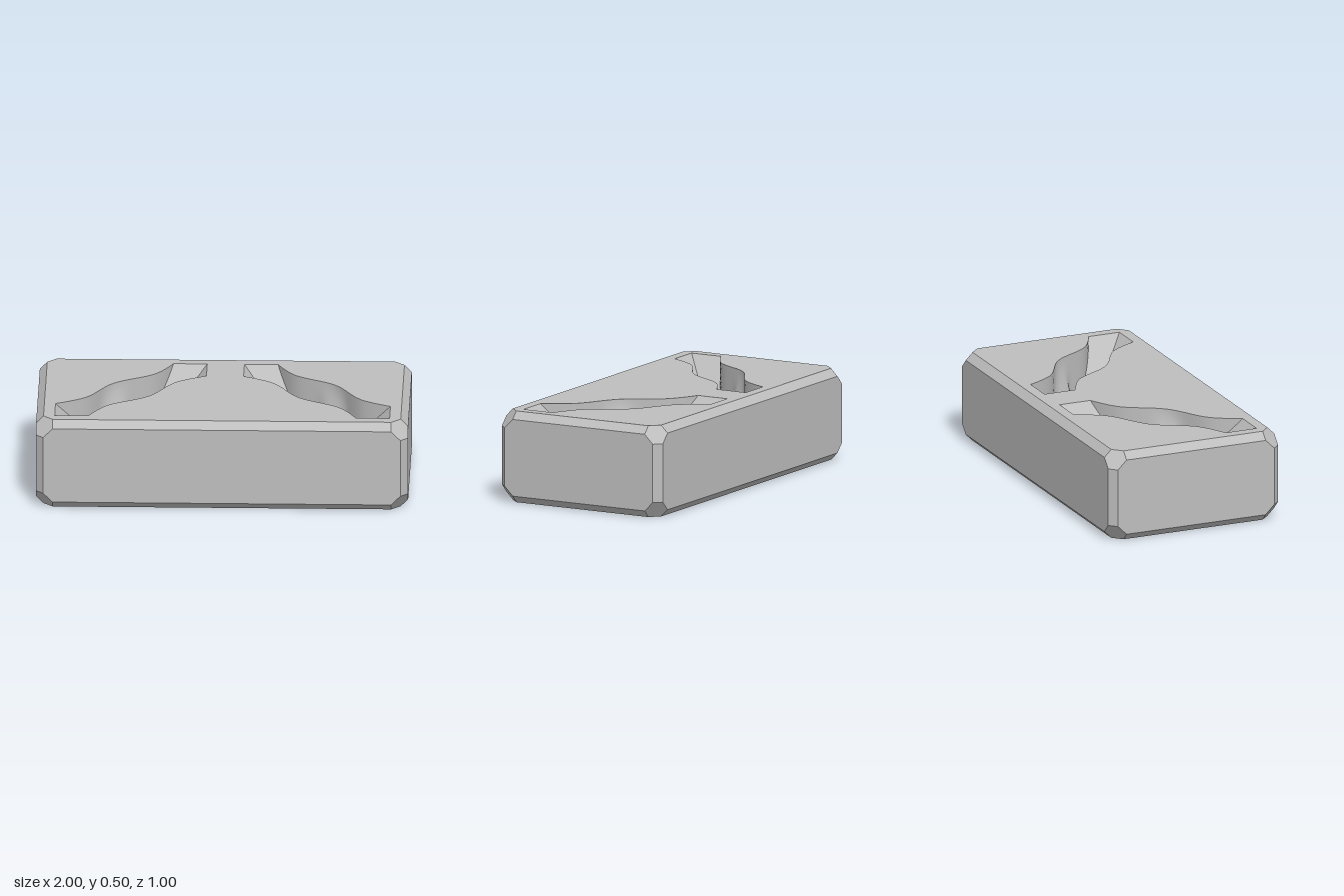
import * as THREE from 'three';

const HALF = [1, 0.25, 0.5];      // half sizes of the block
const C1 = 0.04, C2 = 0.09;       // chamfer and corner insets
const TIP_OUT = 0.566, TIP_MID = 0.248; // half length of a slot at the faces and at mid height
const WALL_STEPS = 28, ROWS = 20;

const smooth = (t) => { t = Math.min(1, Math.max(0, t)); return t * t * (3 - 2 * t); };

// Half width of a slot: wide in the middle, pinched, wide again at the shoulders
function halfWidth(u) {
  u = Math.abs(u);
  if (u < 0.26) return 0.135 - 0.052 * smooth(u / 0.26);
  return 0.083 + 0.045 * Math.pow(Math.min(1, (u - 0.26) / 0.178), 1.5);
}

// One side of the slot outline at height y (from the block's middle)
function section(y) {
  const k = 1 - Math.abs(y) / HALF[1];
  const tip = TIP_OUT + (TIP_MID - TIP_OUT) * k;
  let lo = 0, hi = tip;
  for (let i = 0; i < 40; i++) {
    const m = (lo + hi) / 2;
    if (m + halfWidth(m) < tip) lo = m; else hi = m;
  }
  const wall = [];
  for (let i = 0; i <= WALL_STEPS; i++) {
    const u = lo * (1 - 2 * i / WALL_STEPS);
    const bulge = 0.066 * smooth(k) * smooth(1.15 * (1 - Math.abs(u) / 0.125));
    wall.push([u, y, halfWidth(u) - bulge]);
  }
  return { tip: [tip, y, 0], wall, end: [-tip, y, 0] };
}

// Surface through rows of points
function loft(rows) {
  const n = rows[0].length, index = [];
  for (let r = 0; r < rows.length - 1; r++) {
    for (let c = 0; c < n - 1; c++) {
      const a = r * n + c;
      index.push(a, a + 1, a + n, a + 1, a + n + 1, a + n);
    }
  }
  const g = new THREE.BufferGeometry();
  g.setAttribute('position', new THREE.Float32BufferAttribute(rows.flat(2), 3));
  g.setIndex(index);
  g.computeVertexNormals();
  return g;
}

// Flat convex polygons, each turned outwards
function panels(polygons) {
  const pos = [];
  for (const pts of polygons) {
    const p = pts.map((q) => new THREE.Vector3(...q));
    const normal = p[1].clone().sub(p[0]).cross(p[2].clone().sub(p[0]));
    if (normal.dot(p[0]) < 0) p.reverse();
    for (let i = 1; i < p.length - 1; i++) {
      for (const v of [p[0], p[i], p[i + 1]]) pos.push(v.x, v.y, v.z);
    }
  }
  const g = new THREE.BufferGeometry();
  g.setAttribute('position', new THREE.Float32BufferAttribute(pos, 3));
  g.computeVertexNormals();
  return g;
}

export function createModel() {
  const model = new THREE.Group();
  model.name = 'slottedBlock';
  const body = new THREE.Group();
  body.name = 'body';
  body.position.y = HALF[1];
  model.add(body);
  const grey = new THREE.MeshStandardMaterial({ color: 0xbebebe });
  grey.name = 'stone grey';
  const add = (parent, name, geometry) => {
    const mesh = new THREE.Mesh(geometry, grey);
    mesh.name = name;
    parent.add(mesh);
    return mesh;
  };

  const signs = [1, -1];
  const octagon = (b, c) => [
    [b - C1, c - C2], [b - C2, c - C1], [C2 - b, c - C1], [C1 - b, c - C2],
    [C1 - b, C2 - c], [C2 - b, C1 - c], [b - C2, C1 - c], [b - C1, C2 - c],
  ];

  // Upright sides
  const sides = [];
  for (const s of signs) {
    sides.push(octagon(HALF[1], HALF[2]).map(([y, z]) => [s * HALF[0], y, z]));
    sides.push(octagon(HALF[0], HALF[1]).map(([x, y]) => [x, y, s * HALF[2]]));
  }
  add(body, 'sides', panels(sides));

  // Chamfered edges
  const edges = [];
  for (const [a, b, c] of [[0, 1, 2], [1, 2, 0], [2, 0, 1]]) {
    for (const sa of signs) for (const sb of signs) {
      edges.push([[0, C1, 1], [0, C1, -1], [C1, 0, -1], [C1, 0, 1]].map(([ia, ib, sc]) => {
        const p = [0, 0, 0];
        p[a] = sa * (HALF[a] - ia);
        p[b] = sb * (HALF[b] - ib);
        p[c] = sc * (HALF[c] - C2);
        return p;
      }));
    }
  }
  add(body, 'chamferedEdges', panels(edges));

  // Hexagonal corners
  const corners = [];
  const insets = [[0, C1, C2], [0, C2, C1], [C1, C2, 0], [C2, C1, 0], [C2, 0, C1], [C1, 0, C2]];
  for (const sx of signs) for (const sy of signs) for (const sz of signs) {
    corners.push(insets.map((n) => [sx, sy, sz].map((s, i) => s * (HALF[i] - n[i]))));
  }
  add(body, 'corners', panels(corners));

  // Top and bottom faces with the two diagonal openings
  const slots = [{ name: 'rightSlot', x: -0.5, turn: Math.PI / 4 }, { name: 'leftSlot', x: 0.5, turn: -Math.PI / 4 }];
  const rim = section(HALF[1]);
  const half = [rim.tip, ...rim.wall].map(([u, , v]) => [u, v]);
  const outline = [...half, ...half.map(([u, v]) => [-u, -v])];
  for (const s of signs) {
    const shape = new THREE.Shape(octagon(HALF[0], HALF[2]).map((p) => new THREE.Vector2(...p)));
    for (const { x, turn } of slots) {
      const co = Math.cos(turn), si = Math.sin(turn);
      shape.holes.push(new THREE.Path(outline.map(([u, v]) =>
        new THREE.Vector2(x + u * co + v * si, -s * (v * co - u * si)))));
    }
    const face = new THREE.ShapeGeometry(shape);
    face.rotateX(-s * Math.PI / 2);
    face.translate(0, s * HALF[1], 0);
    add(body, s > 0 ? 'topFace' : 'bottomFace', face);
  }

  // Slot linings: wavy walls and pointed ends that close in towards mid height
  const levels = [];
  for (let r = 0; r <= ROWS; r++) levels.push(section(HALF[1] * (2 * r / ROWS - 1)));
  const wall = loft(levels.map((l) => l.wall));
  const ends = [];
  for (const part of [levels.slice(0, ROWS / 2 + 1), levels.slice(ROWS / 2)]) {
    ends.push(loft(part.map((l) => [l.tip, l.wall[0]])));
    ends.push(loft(part.map((l) => [l.wall[WALL_STEPS], l.end])));
  }
  for (const { name, x, turn } of slots) {
    const slot = new THREE.Group();
    slot.name = name;
    slot.position.x = x;
    slot.rotation.y = turn;
    for (const flip of [0, Math.PI]) {
      add(slot, 'slotWall', wall).rotation.y = flip;
      for (const end of ends) add(slot, 'slotEnd', end).rotation.y = flip;
    }
    body.add(slot);
  }
  return model;
}
